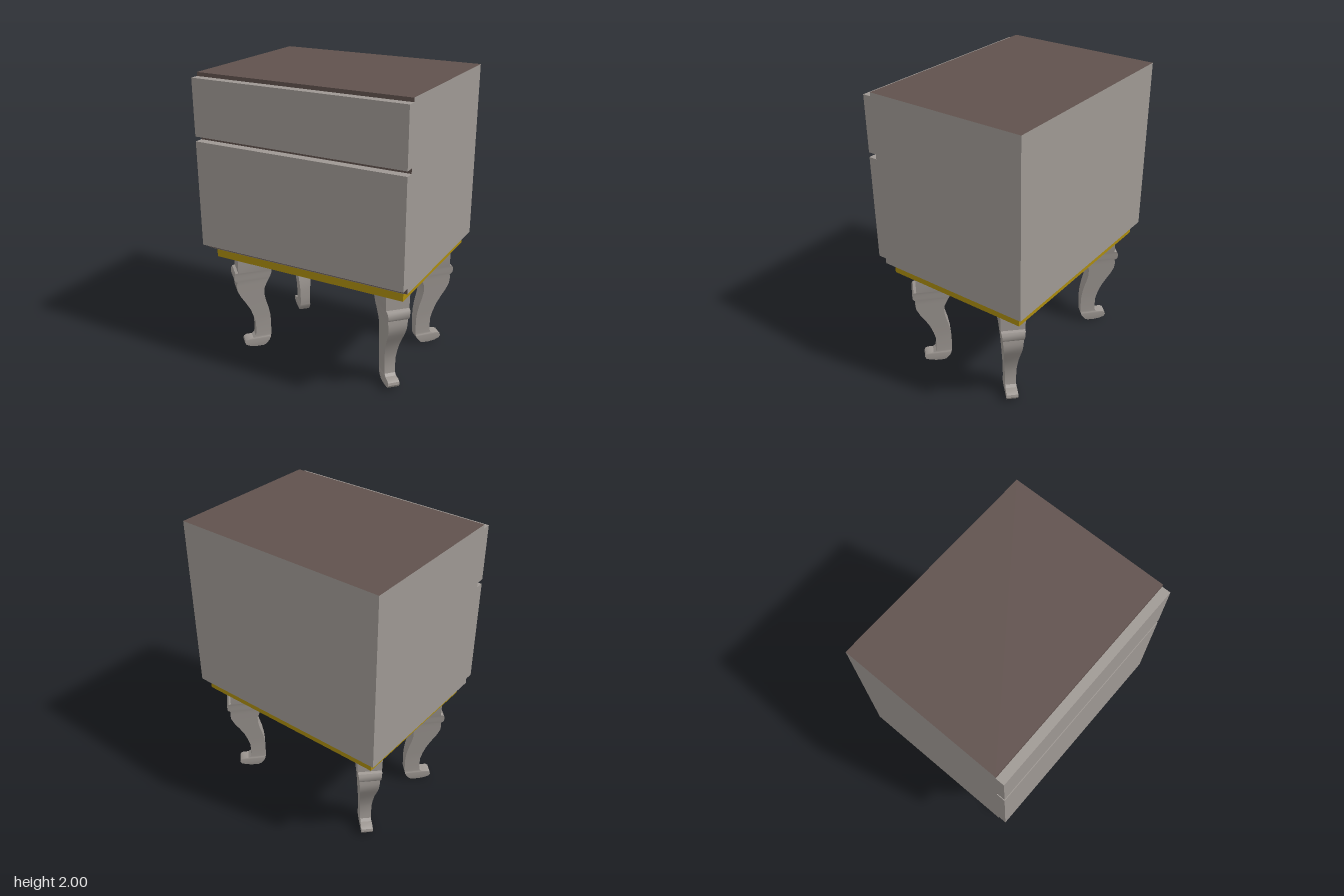
import * as THREE from 'three';
import { toCreasedNormals } from 'three/addons/utils/BufferGeometryUtils.js';

const grey = new THREE.MeshStandardMaterial({ color: 0x9e9893 });
grey.name = 'warm grey lacquer';
const brown = new THREE.MeshStandardMaterial({ color: 0x60514d });
brown.name = 'dark brown';
const gold = new THREE.MeshStandardMaterial({ color: 0xaa8b0e });
gold.name = 'gold';

const HALF_W = 0.732, HALF_D = 0.573, BODY_FRONT = 0.515;
const BAND_W = 1.38, BAND_D = 1.01, BAND_Z = -0.028; // band under the cabinet
const BAND_Y = 0.737, BASE_Y = 0.79, BODY_Y = 0.815;

function add(parent, name, geometry, material) {
  const mesh = new THREE.Mesh(geometry, material);
  mesh.name = name;
  parent.add(mesh);
  return mesh;
}

// Box given by its limits
function box(x0, x1, y0, y1, z0, z1) {
  return new THREE.BoxGeometry(x1 - x0, y1 - y0, z1 - z0)
    .translate((x0 + x1) / 2, (y0 + y1) / 2, (z0 + z1) / 2);
}

// Closed solid through rectangles [y, x0, x1, z0, z1], listed bottom to top
function loft(rings, crease) {
  const pos = [], idx = [];
  for (const [y, x0, x1, z0, z1] of rings)
    pos.push(x0, y, z1, x1, y, z1, x1, y, z0, x0, y, z0);
  for (let r = 0; r < rings.length - 1; r++)
    for (let i = 0; i < 4; i++) {
      const a = r * 4 + i, b = r * 4 + (i + 1) % 4;
      idx.push(a, b, b + 4, a, b + 4, a + 4);
    }
  const t = (rings.length - 1) * 4;
  idx.push(0, 2, 1, 0, 3, 2, t, t + 1, t + 2, t, t + 2, t + 3);
  const g = new THREE.BufferGeometry();
  g.setAttribute('position', new THREE.Float32BufferAttribute(pos, 3));
  g.setIndex(idx);
  return toCreasedNormals(g, crease);
}

// Flat rectangular ring of width t, from BAND_Y up to BASE_Y
function ring(w, d, t) {
  const rect = (P, a, b) => new P([[-a, -b], [a, -b], [a, b], [-a, b]].map(p => new THREE.Vector2(...p)));
  const shape = rect(THREE.Shape, w / 2, d / 2);
  shape.holes.push(rect(THREE.Path, w / 2 - t, d / 2 - t));
  return new THREE.ExtrudeGeometry(shape, { depth: BASE_Y - BAND_Y, bevelEnabled: false })
    .rotateX(-Math.PI / 2).translate(0, BAND_Y, BAND_Z);
}

// Curved leg: [y, outer edge, inner edge, thickness], measured along the x projection of the diagonal
const LEG = [
  [0.0, 0.535, 0.50, 0.05], [0.008, 0.565, 0.487, 0.052], [0.022, 0.587, 0.478, 0.055],
  [0.04, 0.594, 0.468, 0.056], [0.058, 0.591, 0.462, 0.056], [0.069, 0.578, 0.46, 0.055],
  [0.071, 0.55, 0.46, 0.053], [0.085, 0.537, 0.458, 0.052], [0.13, 0.533, 0.457, 0.053],
  [0.2, 0.535, 0.457, 0.055], [0.25, 0.544, 0.46, 0.06], [0.31, 0.559, 0.468, 0.067],
  [0.37, 0.582, 0.48, 0.074], [0.42, 0.604, 0.487, 0.08], [0.47, 0.62, 0.487, 0.086],
  [0.51, 0.623, 0.476, 0.091], [0.543, 0.62, 0.465, 0.095], [0.55, 0.628, 0.462, 0.097],
  [0.565, 0.634, 0.457, 0.1], [0.595, 0.634, 0.451, 0.104], [0.612, 0.627, 0.45, 0.108],
  [0.617, 0.614, 0.45, 0.11], [BASE_Y, 0.614, 0.455, 0.116],
];

function legGeometry() {
  const s = Math.SQRT2;
  return loft(LEG.map(([y, outer, inner, t]) => [y, (inner - 0.5) * s, (outer - 0.5) * s, -t * s / 2, t * s / 2]), 0.6);
}

export function createModel() {
  const model = new THREE.Group();
  model.name = 'nightstand';

  // Cabinet: brown top and front, grey elsewhere
  add(model, 'cabinet', box(-HALF_W, HALF_W, BODY_Y, 2, -HALF_D, BODY_FRONT),
    [grey, grey, brown, grey, brown, grey]);

  // Sloped underside narrowing to the band
  add(model, 'slopedBase', loft([
    [BASE_Y, -BAND_W / 2, BAND_W / 2, BAND_Z - BAND_D / 2, BAND_Z + BAND_D / 2],
    [BODY_Y, -HALF_W, HALF_W, -HALF_D, BODY_FRONT],
  ], 0.3), grey);

  // Drawer fronts
  add(model, 'upperDrawer', box(-HALF_W, HALF_W, 1.6, 1.975, BODY_FRONT, HALF_D), grey);
  add(model, 'lowerDrawer', box(-HALF_W, HALF_W, 0.852, 1.568, BODY_FRONT, HALF_D), grey);

  // Frame with a gold skin
  add(model, 'goldBand', ring(BAND_W, BAND_D, 0.004), gold);
  add(model, 'baseFrame', ring(BAND_W - 0.008, BAND_D - 0.008, 0.05), grey);

  // Four legs turned diagonally outwards
  const geometry = legGeometry();
  for (const sx of [-1, 1])
    for (const sz of [-1, 1]) {
      const leg = add(model, (sz > 0 ? 'front' : 'back') + (sx > 0 ? 'Left' : 'Right') + 'Leg', geometry, grey);
      leg.position.set(sx * 0.5, 0, BAND_Z + sz * 0.292);
      leg.rotation.y = Math.atan2(-sz, sx);
    }
  return model;
}
